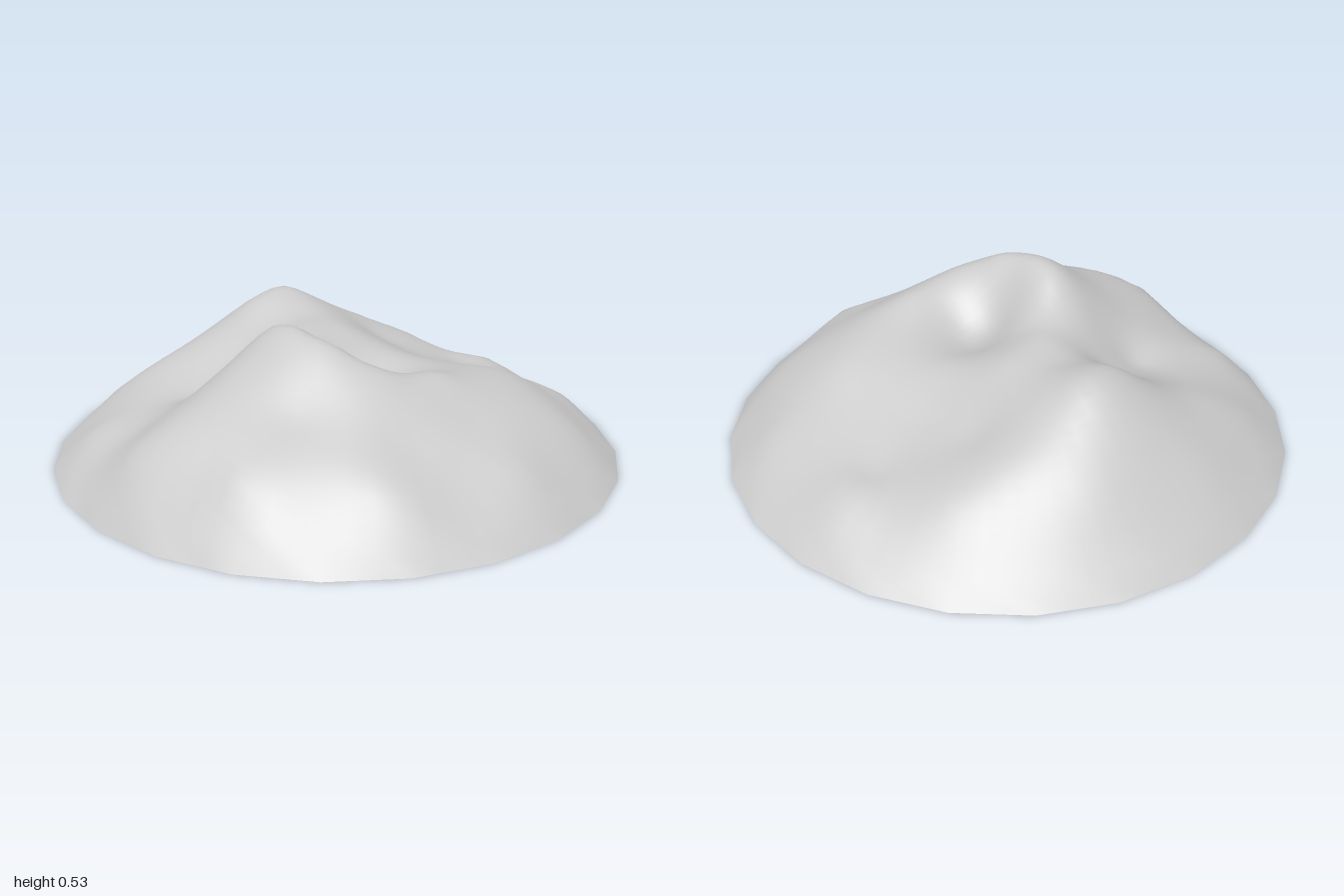
import * as THREE from 'three';

const SIDES = 24, SEGMENTS = 72, RINGS = 28;

// landmarks of the terrain as [x, z, height]
const summitRidge = [
  [0.11, 0.27, 0.53], [0, 0.26, 0.515], [0.25, 0.25, 0.505], [0.4, 0.18, 0.435],
  [-0.1, 0.26, 0.44], [0.1, 0.45, 0.44], [0.1, 0.6, 0.36], [0.1, 0.75, 0.285],
  [0.35, 0.48, 0.34], [-0.14, 0.41, 0.345], [-0.19, 0.54, 0.255], [-0.22, 0.7, 0.18],
];
const eastRidge = [
  [0.44, -0.03, 0.39], [0.46, -0.25, 0.335], [0.42, -0.43, 0.295], [0.42, -0.6, 0.2],
  [0.65, 0, 0.275], [0.62, 0.28, 0.27], [0.67, -0.4, 0.21], [0.62, 0.5, 0.23],
];
const westPeak = [
  [-0.5, -0.18, 0.468], [-0.47, -0.01, 0.44], [-0.46, -0.29, 0.415], [-0.45, -0.5, 0.305],
  [-0.36, -0.68, 0.215], [-0.3, -0.08, 0.42], [-0.16, 0.02, 0.42], [-0.12, -0.15, 0.395],
  [-0.7, -0.1, 0.31], [-0.68, -0.4, 0.24],
];
const hollows = [
  [0.1, -0.04, 0.3], [0.23, 0.02, 0.29], [0.16, 0.11, 0.33], [0.1, -0.22, 0.32],
  [0, -0.42, 0.25], [0.22, -0.48, 0.25], [-0.22, -0.42, 0.28], [0, -0.68, 0.165],
  [0, -0.76, 0.17], [-0.66, 0.3, 0.23], [-0.33, 0.17, 0.29], [-0.29, 0.36, 0.215],
  [-0.45, 0.45, 0.2], [-0.42, 0.62, 0.165],
];
// heights of the shoulder above the steep foot, every 30 degrees from +x towards +z
const shoulder = [0.155, 0.175, 0.195, 0.19, 0.12, 0.125, 0.145, 0.135, 0.125, 0.12, 0.125, 0.14];

// smooth surface through every landmark (multiquadric interpolation)
function makeHeightField(points) {
  const kernel = (x, z, p) => Math.sqrt((x - p[0]) ** 2 + (z - p[1]) ** 2 + 0.0025);
  const n = points.length;
  const rows = points.map((p) => [...points.map((q) => kernel(p[0], p[1], q)), p[2]]);
  for (let i = 0; i < n; i++) {
    for (let j = 0; j < n; j++) {
      if (j === i) continue;
      const f = rows[j][i] / rows[i][i];
      for (let k = i; k <= n; k++) rows[j][k] -= f * rows[i][k];
    }
  }
  const weights = rows.map((row, i) => row[n] / row[i]);
  return (x, z) => points.reduce((sum, p, i) => sum + weights[i] * kernel(x, z, p), 0);
}

export function createModel() {
  const group = new THREE.Group();
  group.name = 'mountain';

  // steep foot: ground line and the shoulder just inside it
  const foot = [];
  for (let i = 0; i < 24; i++) {
    const a = (i / 24) * Math.PI * 2, c = Math.cos(a), s = Math.sin(a);
    foot.push([c, s, 0]);
    if (i % 2 === 0) foot.push([c * 0.87, s * 0.87, shoulder[i / 2]]);
  }
  const height = makeHeightField([...summitRidge, ...eastRidge, ...westPeak, ...hollows, ...foot]);

  // polar grid with a straight-sided outline
  const positions = [0, height(0, 0), 0];
  const indices = [];
  const step = (Math.PI * 2) / SIDES;
  for (let r = 1; r <= RINGS; r++) {
    for (let i = 0; i < SEGMENTS; i++) {
      const a = (i / SEGMENTS) * Math.PI * 2;
      const outline = Math.cos(step / 2) / Math.cos((a % step) - step / 2);
      const radius = (r / RINGS) * outline;
      const x = Math.cos(a) * radius, z = Math.sin(a) * radius;
      positions.push(x, r === RINGS ? 0 : Math.max(0, height(x, z)), z);

      const next = (i + 1) % SEGMENTS;
      const outer = 1 + (r - 1) * SEGMENTS, inner = outer - SEGMENTS;
      if (r === 1) indices.push(0, outer + next, outer + i);
      else {
        indices.push(inner + i, inner + next, outer + i);
        indices.push(inner + next, outer + next, outer + i);
      }
    }
  }
  const geometry = new THREE.BufferGeometry();
  geometry.setAttribute('position', new THREE.Float32BufferAttribute(positions, 3));
  geometry.setIndex(indices);
  geometry.computeVertexNormals();

  // open shell, seen from below as well
  const material = new THREE.MeshStandardMaterial({ color: 0xcccccc, side: THREE.DoubleSide });
  const terrain = new THREE.Mesh(geometry, material);
  terrain.name = 'terrain';
  group.add(terrain);
  return group;
}
